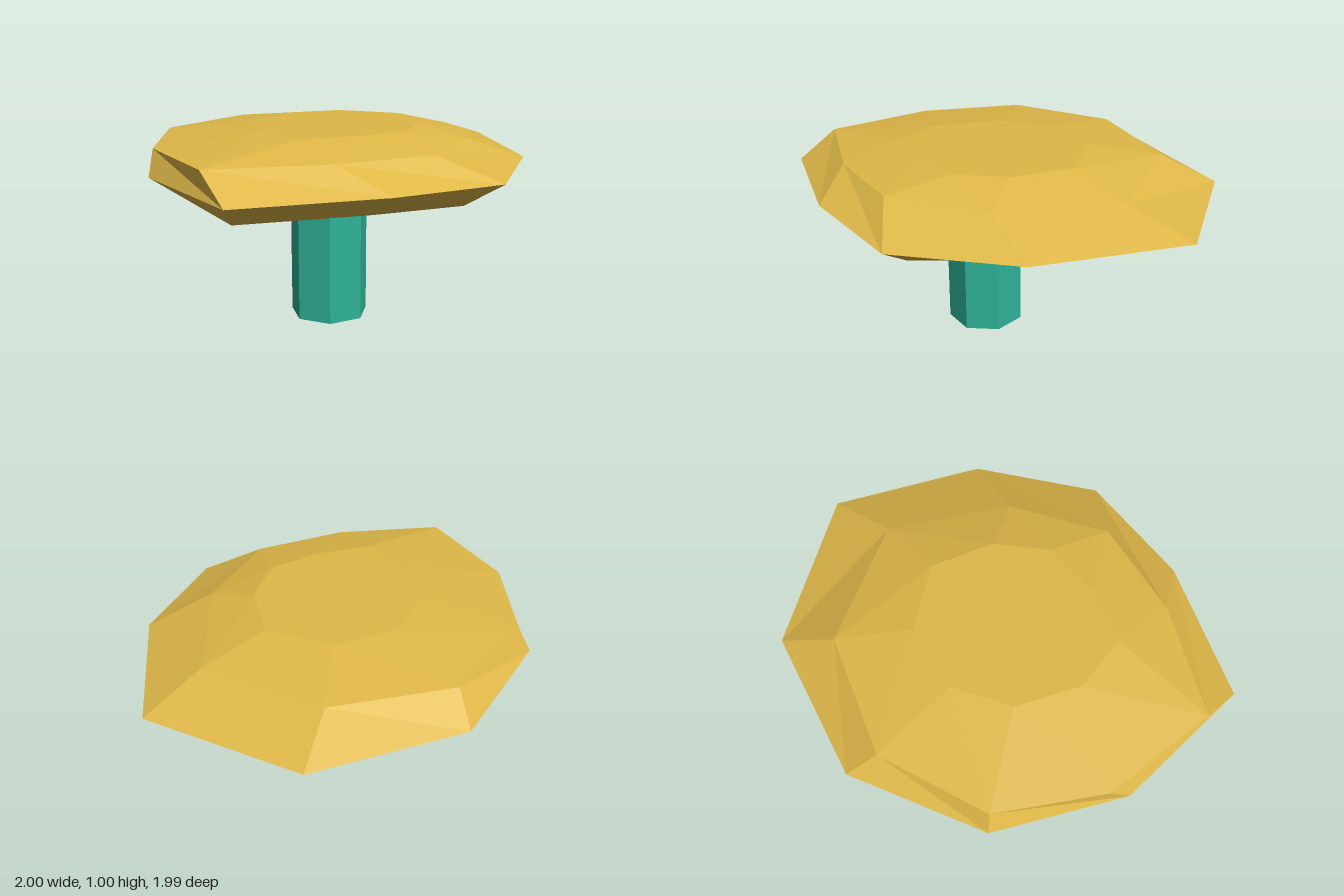
import * as THREE from 'three';

// Cross-sections of the cap, nine [x, y, z] corners each, listed in the same order around
const TOP = [[-0.24, 1, -0.32], [0.1, 1, -0.38], [0.38, 1, -0.18], [0.38, 1, 0.15], [0.24, 1, 0.4],
  [-0.02, 1, 0.49], [-0.33, 1, 0.51], [-0.47, 1, 0.25], [-0.44, 1, -0.08]];
const SHOULDER = [[-0.4, 0.94, -0.75], [0.22, 0.94, -0.75], [0.7, 0.92, -0.3], [0.58, 0.935, 0.32], [0.25, 0.94, 0.73],
  [-0.24, 0.94, 0.82], [-0.81, 0.935, 0.76], [-0.97, 0.93, 0.18], [-0.85, 0.94, -0.37]];
const RIM = [[-0.4, 0.82, -0.92], [0.37, 0.805, -1], [1, 0.82, -0.49], [0.92, 0.815, 0.28], [0.56, 0.805, 0.82],
  [-0.03, 0.82, 0.99], [-0.74, 0.81, 0.97], [-1, 0.81, 0.28], [-0.91, 0.815, -0.4]];
const BASE = [[-0.27, 0.68, -0.64], [0.28, 0.68, -0.64], [0.69, 0.68, -0.19], [0.56, 0.68, 0.32], [0.42, 0.68, 0.68],
  [-0.04, 0.68, 0.73], [-0.68, 0.68, 0.74], [-0.8, 0.68, 0.2], [-0.68, 0.68, -0.32]];

// Joins the cross-sections with bands and closes both ends with flat fans
function loft(rings) {
  const n = rings[0].length;
  const points = rings.flat();
  const index = [];
  for (let r = 0; r < rings.length - 1; r++) {
    for (let i = 0; i < n; i++) {
      const a = r * n + i, b = r * n + (i + 1) % n;
      index.push(a, b, a + n, b, b + n, a + n);
    }
  }
  const last = (rings.length - 1) * n;
  for (let i = 1; i < n - 1; i++) {
    index.push(0, i + 1, i);
    index.push(last, last + i, last + i + 1);
  }
  const geometry = new THREE.BufferGeometry();
  geometry.setAttribute('position', new THREE.Float32BufferAttribute(points.flat(), 3));
  geometry.setIndex(index);
  const faceted = geometry.toNonIndexed();
  faceted.computeVertexNormals();
  return faceted;
}

export function createModel() {
  const gold = new THREE.MeshStandardMaterial({ name: 'gold', color: 0xdfb848, flatShading: true });
  const teal = new THREE.MeshStandardMaterial({ name: 'teal', color: 0x2eb398, flatShading: true });
  const model = new THREE.Group();
  model.name = 'mushroom';

  // Irregular faceted cap, from the flat crown down to the flat underside
  const cap = new THREE.Mesh(loft([TOP, SHOULDER, RIM, BASE].map((ring) => ring.slice().reverse()).reverse()), gold);
  cap.name = 'cap';

  // Seven-sided stem, slightly off centre
  const stem = new THREE.Mesh(new THREE.CylinderGeometry(0.203, 0.203, 0.72, 7), teal);
  stem.name = 'stem';
  stem.rotation.y = Math.PI / 2;
  stem.position.set(-0.09, 0.36, 0.118);

  model.add(cap, stem);
  return model;
}
